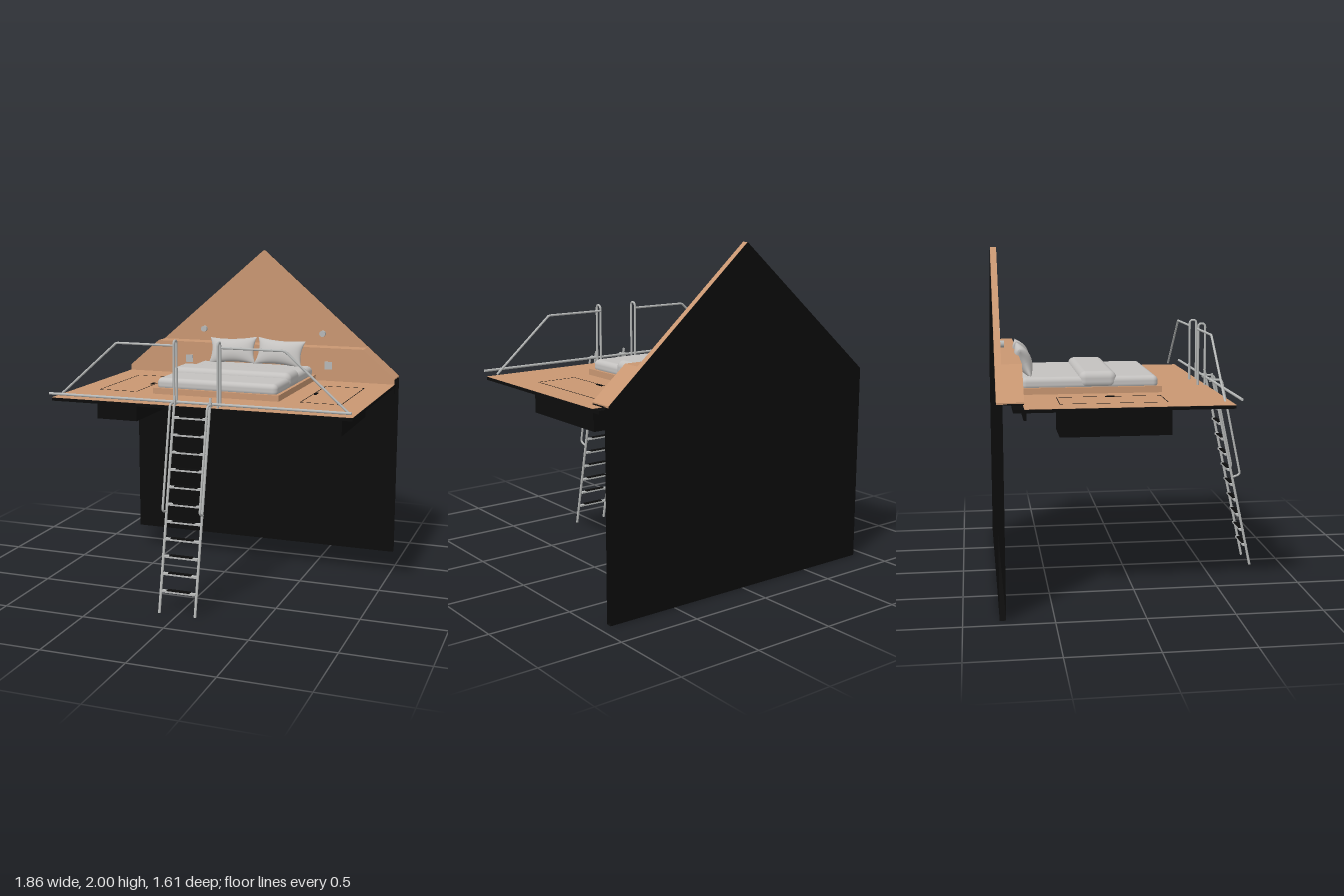
import * as THREE from 'three';
import { RoundedBoxGeometry } from 'three/addons/geometries/RoundedBoxGeometry.js';

const V = (x, y, z) => new THREE.Vector3(x, y, z);

function material(name, color, side = THREE.FrontSide) {
  const m = new THREE.MeshStandardMaterial({ color, side });
  m.name = name;
  return m;
}

// Tube along straight runs joined by rounded bends
function pipe(points, radius, bend = 0.02) {
  const path = new THREE.CurvePath();
  let from = points[0];
  for (let i = 1; i < points.length - 1; i++) {
    const p = points[i];
    const back = points[i - 1].clone().sub(p), ahead = points[i + 1].clone().sub(p);
    const r = Math.min(bend, back.length() * 0.49, ahead.length() * 0.49);
    const a = p.clone().addScaledVector(back.normalize(), r);
    const b = p.clone().addScaledVector(ahead.normalize(), r);
    path.add(new THREE.LineCurve3(from, a));
    path.add(new THREE.QuadraticBezierCurve3(a, p, b));
    from = b;
  }
  path.add(new THREE.LineCurve3(from, points[points.length - 1]));
  return new THREE.TubeGeometry(path, points.length > 2 ? 70 : 1, radius, 10);
}

// Upright panel with the given outline, from z0 to z1
function panel(outline, z0, z1) {
  const shape = new THREE.Shape(outline.map(([x, y]) => new THREE.Vector2(x, y)));
  return new THREE.ExtrudeGeometry(shape, { depth: z1 - z0, bevelEnabled: false }).translate(0, 0, z0);
}

// Plump cushion with pointed corners and pinched edges
function pillowGeometry(w, h, d) {
  const g = new THREE.SphereGeometry(1, 48, 32).rotateX(Math.PI / 2);
  const p = g.attributes.position;
  for (let i = 0; i < p.count; i++) {
    const x = p.getX(i), y = p.getY(i), z = p.getZ(i);
    const round = Math.hypot(x, y), square = Math.max(Math.abs(x), Math.abs(y)) || 1;
    const u = x * round / square, v = y * round / square;
    p.setXYZ(i,
      u * w / 2 * (1 - 0.12 * (1 - v * v)),
      v * h / 2 * (1 - 0.16 * (1 - u * u)),
      Math.sign(z) * d / 2 * Math.sqrt(Math.max(0, (1 - u * u) * (1 - v * v))));
  }
  g.computeVertexNormals();
  return g;
}

export function createModel() {
  const root = new THREE.Group();
  root.name = 'loftBed';
  const wood = material('warm wood', 0xc99772);
  const black = material('black', 0x0c0c0c, THREE.DoubleSide);
  const metal = material('brushed metal', 0xb6b8b7, THREE.DoubleSide);
  const linen = material('grey linen', 0xc3c1bf);

  const add = (name, geometry, mat, x = 0, y = 0, z = 0) => {
    const mesh = new THREE.Mesh(geometry, mat);
    mesh.name = name;
    mesh.position.set(x, y, z);
    root.add(mesh);
    return mesh;
  };
  // Box given by its extents on each axis
  const box = (name, mat, [x0, x1], [y0, y1], [z0, z1]) =>
    add(name, new THREE.BoxGeometry(x1 - x0, y1 - y0, z1 - z0), mat,
      (x0 + x1) / 2, (y0 + y1) / 2, (z0 + z1) / 2);

  const W = 0.93, floorY = 1.163;

  // Gable wall with dark backing and dark lower wall
  add('gable', panel([[-W, 1.19], [W, 1.19], [W, 1.2], [0, 2], [-W, 1.2]], -0.798, -0.762), wood);
  const backing = [[-W, 0], [W, 0], [W, 1.2], [0, 2], [-W, 1.2]].map(([x, y]) => new THREE.Vector2(x, y));
  add('wallBack', new THREE.ShapeGeometry(new THREE.Shape(backing)), black, 0, 0, -0.8);
  add('lowerWallFront', new THREE.PlaneGeometry(2 * W, 1.19), black, 0, 0.595, -0.765);
  add('lowerWallBase', new THREE.PlaneGeometry(2 * W, 0.035).rotateX(Math.PI / 2), black, 0, 0, -0.7825);

  // Headboard ledge following the roof slope
  add('headboard', panel([[-W, 1.193], [W, 1.193], [W, 1.2], [0.72, 1.38], [-0.72, 1.38], [-W, 1.2]], -0.762, -0.65), wood);
  add('headboardSkirt', new THREE.PlaneGeometry(2 * W, 0.03), wood, 0, 1.178, -0.65);
  box('headboardUnderside', black, [-W, W], [1.186, 1.192], [-0.76, -0.652]);

  // Loft floor
  box('floorSlab', black, [-W, W], [1.142, 1.161], [-0.71, 0.5]);
  box('floorBoards', wood, [-W, W], [1.161, floorY], [-0.65, 0.5]);
  box('rearBeam', black, [-W, W], [1.1, 1.142], [-0.655, -0.64]);

  // Bed
  box('bedPlatform', wood, [-0.405, 0.405], [floorY, 1.2], [-0.65, 0.18]);
  add('mattress', new RoundedBoxGeometry(0.775, 0.075, 0.8, 5, 0.03), linen, 0, 1.222, -0.24);
  add('foldedBlanket', new RoundedBoxGeometry(0.79, 0.1, 0.22, 6, 0.04), linen, 0, 1.24, -0.195);
  for (const x of [-0.165, 0.165]) {
    const pillow = add('pillow', pillowGeometry(0.33, 0.185, 0.095), linen, x, 1.34, -0.617);
    pillow.rotation.set(-0.38, 0, x < 0 ? 0.05 : -0.05);
  }

  for (const s of [-1, 1]) {
    // Wall lamp and switch plate
    add('wallLamp', new THREE.CylinderGeometry(0.02, 0.02, 0.025, 24).rotateX(Math.PI / 2), metal, s * 0.42, 1.46, -0.75);
    add('switchPlate', new THREE.BoxGeometry(0.05, 0.05, 0.006), metal, s * 0.49, 1.265, -0.647);

    // Storage box under the floor with its hatch seams and pull
    add('storageBox', new THREE.BoxGeometry(0.27, 0.165, 0.625), black, s * 0.655, 1.062, -0.14);
    for (const x of [0.53, 0.778])
      add('hatchSeam', new THREE.BoxGeometry(0.004, 0.001, 0.6), black, s * x, floorY + 0.0005, -0.15);
    for (const z of [-0.45, 0.15])
      add('hatchSeam', new THREE.BoxGeometry(0.25, 0.001, 0.004), black, s * 0.654, floorY + 0.0005, z);
    add('hatchPull', new THREE.BoxGeometry(0.012, 0.006, 0.055), black, s * 0.547, floorY + 0.003, -0.147);

    // Guard rail: looped post and sloping top rail
    add('guardPost', pipe([V(s * 0.135, floorY, 0.49), V(s * 0.135, 1.54, 0.49),
      V(s * 0.135, 1.54, 0.448), V(s * 0.135, floorY, 0.448)], 0.007, 0.025), metal);
    add('guardRail', pipe([V(s * 0.135, 1.506, 0.445), V(s * 0.52, 1.506, 0.445),
      V(s * 0.89, 1.18, 0.445)], 0.007, 0.01), metal);

    // Ladder side and its grab rail
    add('ladderSide', pipe([V(s * 0.11, 0.002, 0.8), V(s * 0.11, 1.18, 0.55), V(s * 0.11, 1.23, 0.54)], 0.008), metal);
    add('grabRail', pipe([V(s * 0.114, 1.19, 0.55), V(s * 0.114, 1.19, 0.603),
      V(s * 0.114, 0.59, 0.728), V(s * 0.114, 0.575, 0.68)], 0.007, 0.02), metal);
    add('ladderHook', new THREE.BoxGeometry(0.016, 0.025, 0.03), metal, s * 0.11, 1.19, 0.54);
  }

  // Full-width rail that carries the ladder
  add('ladderRail', new THREE.CylinderGeometry(0.008, 0.008, 2 * W, 12).rotateZ(Math.PI / 2), metal, 0, 1.192, 0.53);

  // Ladder treads with dark grip pads
  for (let i = 0; i < 11; i++) {
    const y = 0.127 + i * 0.098, z = 0.797 - y * 0.212;
    add('ladderTread', new THREE.BoxGeometry(0.21, 0.011, 0.026), metal, 0, y, z);
    add('gripPad', new THREE.BoxGeometry(0.14, 0.005, 0.027), black, 0, y + 0.008, z);
  }
  return root;
}
